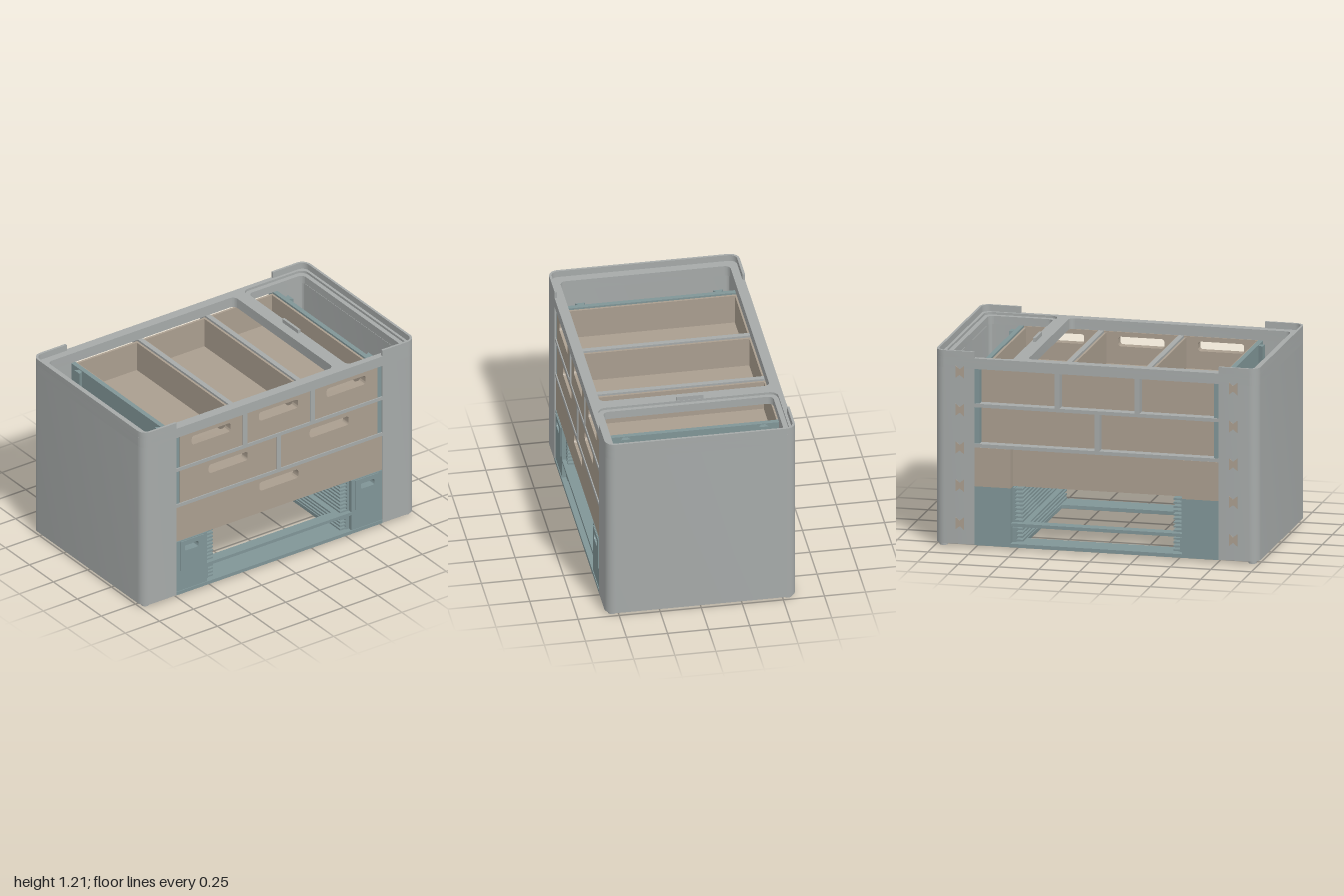
import * as THREE from 'three';
import { toCreasedNormals } from 'three/addons/utils/BufferGeometryUtils.js';

const material = (name, color) => {
  const m = new THREE.MeshStandardMaterial({ color });
  m.name = name;
  return m;
};

export function createModel() {
  const grey = material('shell grey', 0xa6aaa9);
  const tan = material('drawer tan', 0xaa9e8f);
  const teal = material('base teal', 0x809597);
  const model = new THREE.Group();

  const add = (name, geometry, mat, parent = model) => {
    const mesh = new THREE.Mesh(geometry, mat);
    mesh.name = name;
    parent.add(mesh);
    return mesh;
  };
  // Box given by its two extremes on each axis
  const box = (name, x0, x1, y0, y1, z0, z1, mat, parent) => {
    const mesh = add(name, new THREE.BoxGeometry(Math.abs(x1 - x0), y1 - y0, z1 - z0), mat, parent);
    mesh.position.set((x0 + x1) / 2, (y0 + y1) / 2, (z0 + z1) / 2);
    return mesh;
  };
  const roundRect = (x0, x1, y0, y1, r, path = new THREE.Shape()) => {
    path.absarc(x1 - r, y0 + r, r, -Math.PI / 2, 0);
    path.absarc(x1 - r, y1 - r, r, 0, Math.PI / 2);
    path.absarc(x0 + r, y1 - r, r, Math.PI / 2, Math.PI);
    path.absarc(x0 + r, y0 + r, r, Math.PI, Math.PI * 1.5);
    path.closePath();
    return path;
  };
  const extrude = (shape, depth) => toCreasedNormals(
    new THREE.ExtrudeGeometry(shape, { depth, bevelEnabled: false, curveSegments: 8 }), 0.6);
  // Plan outline raised from y0 to y1
  const raise = (name, shape, y0, y1, mat, parent) => {
    const mesh = add(name, extrude(shape, y1 - y0).rotateX(-Math.PI / 2), mat, parent);
    mesh.position.y = y0;
    return mesh;
  };
  // Upright panel with a rounded finger slot
  const slottedPanel = (name, x0, x1, y0, y1, slot, z0, z1, mat, parent) => {
    const shape = new THREE.Shape([[x0, y0], [x1, y0], [x1, y1], [x0, y1]].map(p => new THREE.Vector2(...p)));
    const [cx, cy, w, h] = slot;
    shape.holes.push(roundRect(cx - w / 2, cx + w / 2, cy - h / 2, cy + h / 2, h * 0.3, new THREE.Path()));
    add(name, extrude(shape, z1 - z0), mat, parent).position.z = z0;
  };

  // C-shaped wall outline, mirrored by s
  const cShape = (s, t, r) => {
    const shape = new THREE.Shape();
    const q = r - t > 0.01 ? r - t : 0.02;
    const pts = [[0.755, -0.58]];
    const arc = (cx, cy, rad, a0, a1) => {
      for (let i = 0; i <= 8; i++) {
        const a = a0 + (a1 - a0) * i / 8;
        pts.push([cx + rad * Math.cos(a), cy + rad * Math.sin(a)]);
      }
    };
    arc(1 - r, -0.58 + r, r, -Math.PI / 2, 0);
    arc(1 - r, 0.58 - r, r, 0, Math.PI / 2);
    pts.push([0.755, 0.58], [0.755, 0.58 - t]);
    arc(1 - t - q, 0.58 - t - q, q, Math.PI / 2, 0);
    arc(1 - t - q, -0.58 + t + q, q, 0, -Math.PI / 2);
    pts.push([0.755, -0.58 + t]);
    shape.setFromPoints(pts.map(([x, y]) => new THREE.Vector2(s * x, y)));
    return shape;
  };

  // Dovetail key outline
  const bowTie = (w, h) => new THREE.Shape([[-w, -h], [0, -h * 0.45], [w, -h], [w, h], [0, h * 0.45], [-w, h]]
    .map(p => new THREE.Vector2(...p)));

  for (const s of [1, -1]) {
    const side = new THREE.Group();
    side.name = s > 0 ? 'leftSide' : 'rightSide';
    model.add(side);
    // Shell wall, top rim and floor flanges
    raise('sideShell', cShape(s, 0.062, 0.06), 0.018, 1.105, grey, side);
    raise('topRim', cShape(s, 0.015, 0.06), 1.17, 1.21, grey, side);
    for (const z of [-1, 1]) {
      box('floorFlange', s * 0.755, s * 0.94, 0.018, 0.04, z > 0 ? 0.32 : -0.52, z > 0 ? 0.52 : -0.32, grey, side);
      add('foot', new THREE.CylinderGeometry(0.025, 0.025, 0.02, 20), grey, side).position.set(s * 0.955, 0.01, z * 0.535);
      // Vertical dovetail rails on the inner panel
      const rail = new THREE.Shape([[0, -0.012], [0.03, -0.03], [0.03, 0.03], [0, 0.012]]
        .map(([x, y]) => new THREE.Vector2(s * x, y)));
      const mesh = raise('dovetailRail', rail, 0.04, 1.1, teal, side);
      mesh.position.x = s * 0.753;
      mesh.position.z = z * 0.42;
    }
    // Joint keys on the back
    for (let i = 0; i < 5; i++) {
      const key = add('backJointKey', extrude(bowTie(0.026, 0.038), 0.006), tan, side);
      key.position.set(s * 0.845, 0.145 + i * 0.234, -0.583);
    }
    box('upperSidePanel', s * 0.725, s * 0.755, 0.62, 1.105, -0.57, 0.57, teal, side);
    box('middleSideBlock', s * 0.53, s * 0.755, 0.38, 0.62, -0.58, 0.515, tan, side);

    // Base post with a small drawer
    box('basePost', s * 0.53, s * 0.755, 0.018, 0.38, -0.58, 0.53, teal, side);
    const xs = [s * 0.53, s * 0.755].sort((a, b) => a - b);
    slottedPanel('postFront', xs[0], xs[1], 0.018, 0.38, [s * 0.645, 0.325, 0.1, 0.04], 0.53, 0.575, teal, side);
    const face = [s * 0.555, s * 0.725].sort((a, b) => a - b);
    slottedPanel('smallDrawerFace', face[0], face[1], 0.172, 0.374, [s * 0.645, 0.325, 0.1, 0.04], 0.575, 0.581, teal, side);

    // Slotted tray racks
    box('rackBack', s * 0.515, s * 0.53, 0.155, 0.375, -0.54, 0.55, teal, side);
    for (let i = 0; i < 9; i++) {
      const y = 0.165 + i * 0.0245;
      box('rackTooth', s * 0.465, s * 0.517, y, y + 0.011, -0.54, 0.55, teal, side);
    }
    box('lowerRackBack', s * 0.505, s * 0.53, 0.04, 0.13, -0.54, 0.55, teal, side);
    for (let i = 0; i < 4; i++) {
      const y = 0.045 + i * 0.0235;
      box('lowerRackTooth', s * 0.465, s * 0.507, y, y + 0.011, -0.54, 0.55, teal, side);
    }
  }

  // Top frame with two rounded openings
  const top = roundRect(-1, 1, -0.58, 0.58, 0.06);
  top.holes.push(roundRect(-0.93, 0.44, -0.518, 0.518, 0.035, new THREE.Path()));
  top.holes.push(roundRect(0.54, 0.94, -0.518, 0.518, 0.035, new THREE.Path()));
  raise('topFrame', top, 1.105, 1.155, grey);
  // Upper layer leaves a stepped recess around the smaller opening
  const upper = roundRect(-1, 1, -0.58, 0.58, 0.06);
  upper.holes.push(roundRect(-0.93, 0.44, -0.518, 0.518, 0.035, new THREE.Path()));
  upper.holes.push(roundRect(0.515, 0.968, -0.548, 0.548, 0.05, new THREE.Path()));
  raise('topFrameUpper', upper, 1.155, 1.17, grey);
  box('topTab', 0.497, 0.513, 1.165, 1.195, -0.1, 0.065, grey);

  // Grey shelves and dividers
  box('upperShelf', -0.755, 0.755, 0.868, 0.89, -0.578, 0.578, grey);
  box('lowerShelf', -0.755, 0.755, 0.62, 0.642, -0.578, 0.578, grey);
  for (const x of [-0.25, 0.245]) box('upperDivider', x - 0.016, x + 0.016, 0.89, 1.106, -0.578, 0.578, grey);
  box('middleDivider', -0.017, 0.013, 0.642, 0.868, -0.578, 0.578, grey);

  // Open drawer box with a slotted front
  const drawer = (name, x0, x1, y0, y1, slotY, fx0 = x0, fx1 = x1) => {
    const g = new THREE.Group();
    g.name = name;
    model.add(g);
    const t = 0.014;
    slottedPanel('drawerFront', fx0, fx1, y0, y1, [(x0 + x1) / 2, slotY, 0.285, 0.06], 0.515, 0.572, tan, g);
    box('drawerFloor', x0, x1, y0, y0 + t, -0.525, 0.515, tan, g);
    box('drawerBack', x0, x1, y0 + t, y1 - 0.01, -0.525, -0.51, tan, g);
    box('drawerWall', x0, x0 + t, y0 + t, y1 - 0.01, -0.51, 0.515, tan, g);
    box('drawerWall', x1 - t, x1, y0 + t, y1 - 0.01, -0.51, 0.515, tan, g);
  };
  for (const [a, b] of [[-0.724, -0.267], [-0.233, 0.228], [0.262, 0.724]]) drawer('upperDrawer', a, b, 0.891, 1.104, 1.045);
  for (const [a, b] of [[-0.724, -0.018], [0.014, 0.724]]) drawer('middleDrawer', a, b, 0.643, 0.866, 0.805);
  drawer('wideDrawer', -0.53, 0.53, 0.382, 0.62, 0.56, -0.755, 0.755);

  // Base plate and cross beams
  const base = new THREE.Shape([[-0.755, -0.58], [0.755, -0.58], [0.755, 0.58], [-0.755, 0.58]]
    .map(p => new THREE.Vector2(...p)));
  base.holes.push(roundRect(-0.465, 0.465, -0.42, 0.42, 0.005, new THREE.Path()));
  raise('basePlate', base, 0.016, 0.038, teal);
  for (const z of [-0.54, 0.54]) box('crossBeam', -0.53, 0.53, 0.143, 0.163, z - 0.035, z + 0.035, teal);

  return model;
}
